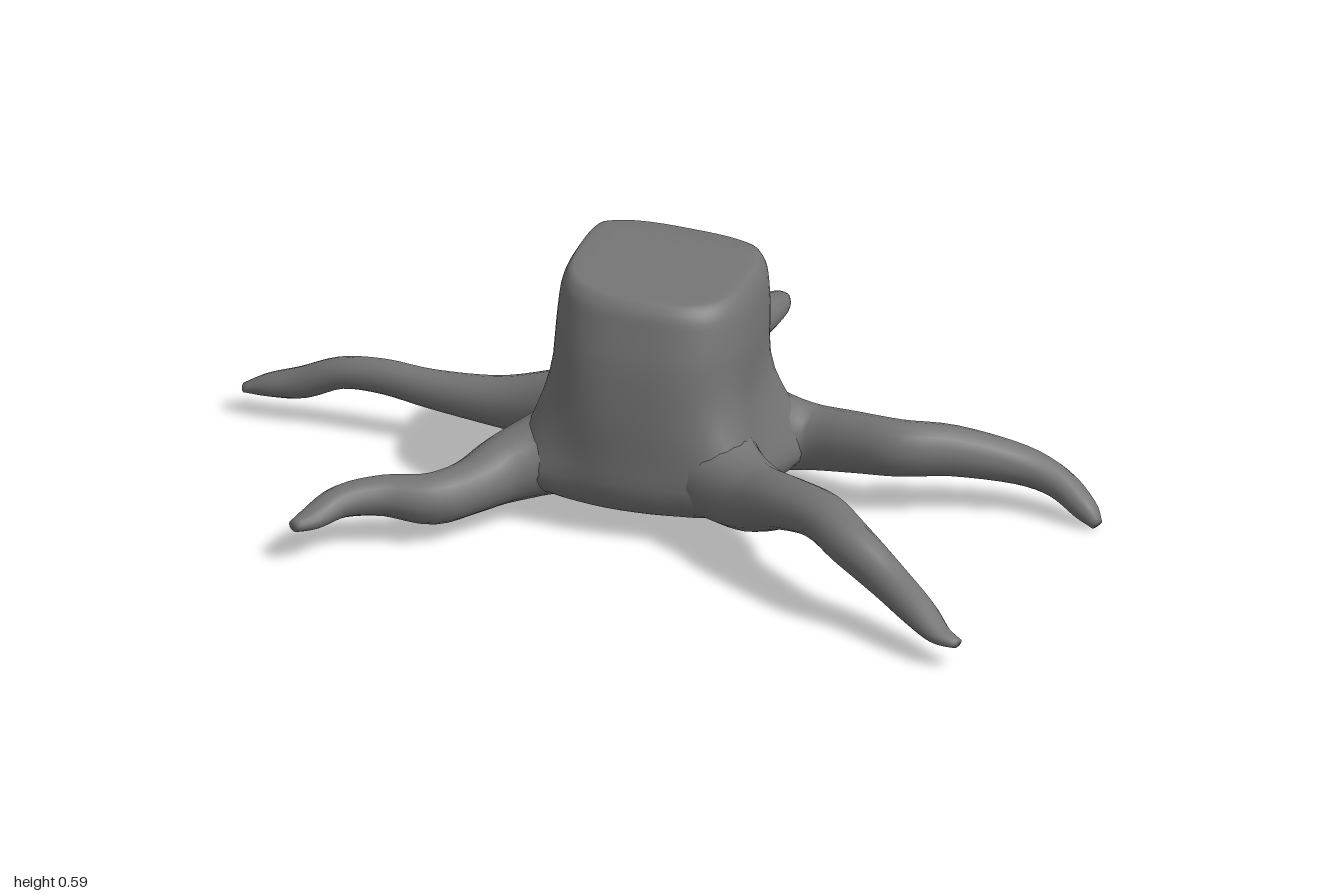
import * as THREE from 'three';

const material = new THREE.MeshStandardMaterial({ color: 0x747474 });
const CX = 0.025, CZ = 0.125;

// Each root: stations of [x, y, z, half width, half height], from inside the trunk to the tip
const ROOTS = {
  backRoot: [
    [0.02, 0.21, 0.04, 0.14, 0.15], [0.035, 0.16, -0.1, 0.105, 0.108], [0.05, 0.125, -0.24, 0.078, 0.078],
    [0.02, 0.12, -0.36, 0.07, 0.065], [0.01, 0.13, -0.47, 0.062, 0.05], [0.005, 0.122, -0.56, 0.05, 0.043],
    [0.01, 0.112, -0.66, 0.046, 0.04], [0.01, 0.1, -0.74, 0.04, 0.026], [0.01, 0.097, -0.787, 0.024, 0.013]],
  leftRoot: [
    [0.08, 0.21, 0.07, 0.13, 0.15], [0.22, 0.155, 0.005, 0.1, 0.1], [0.32, 0.135, -0.025, 0.066, 0.077],
    [0.44, 0.15, 0.005, 0.058, 0.07], [0.55, 0.16, 0.025, 0.055, 0.065], [0.66, 0.15, -0.018, 0.05, 0.058],
    [0.8, 0.115, -0.065, 0.043, 0.045], [0.89, 0.085, -0.06, 0.036, 0.036], [0.96, 0.045, -0.03, 0.028, 0.028],
    [0.992, 0.018, -0.015, 0.014, 0.013]],
  rightRoot: [
    [-0.03, 0.21, 0.07, 0.15, 0.15], [-0.18, 0.155, 0.015, 0.105, 0.1], [-0.28, 0.135, -0.005, 0.073, 0.078],
    [-0.4, 0.125, -0.013, 0.05, 0.058], [-0.55, 0.132, -0.015, 0.038, 0.045], [-0.66, 0.144, -0.02, 0.036, 0.04],
    [-0.76, 0.138, -0.024, 0.035, 0.036], [-0.85, 0.1, -0.03, 0.035, 0.036], [-0.93, 0.08, -0.036, 0.034, 0.026],
    [-0.99, 0.065, -0.035, 0.016, 0.01]],
  frontLeftRoot: [
    [0.1, 0.2, 0.19, 0.14, 0.15], [0.22, 0.155, 0.28, 0.105, 0.1], [0.32, 0.158, 0.365, 0.085, 0.078],
    [0.42, 0.198, 0.455, 0.068, 0.06], [0.53, 0.216, 0.535, 0.06, 0.053], [0.62, 0.192, 0.605, 0.053, 0.054],
    [0.72, 0.138, 0.65, 0.044, 0.046], [0.81, 0.1, 0.71, 0.04, 0.036], [0.87, 0.075, 0.755, 0.03, 0.022],
    [0.92, 0.065, 0.773, 0.016, 0.01]],
  frontRightRoot: [
    [-0.04, 0.2, 0.18, 0.13, 0.15], [-0.18, 0.15, 0.24, 0.1, 0.1], [-0.27, 0.125, 0.315, 0.074, 0.08],
    [-0.325, 0.11, 0.4, 0.062, 0.062], [-0.39, 0.105, 0.48, 0.056, 0.058], [-0.49, 0.115, 0.517, 0.046, 0.046],
    [-0.57, 0.115, 0.575, 0.04, 0.036], [-0.615, 0.1, 0.65, 0.032, 0.024], [-0.643, 0.095, 0.692, 0.016, 0.013]],
};

// Skin a stack of equal rings and close both ends with a fan
function loft(rings, name) {
  const n = rings[0].length, points = rings.flat(), index = [];
  for (let j = 0; j < rings.length - 1; j++) {
    for (let i = 0; i < n; i++) {
      const a = j * n + i, b = j * n + (i + 1) % n;
      index.push(a, b, a + n, b, b + n, a + n);
    }
  }
  [rings[0], rings[rings.length - 1]].forEach((ring, end) => {
    const start = end * (rings.length - 1) * n, c = points.length;
    points.push(ring.reduce((s, p) => s.add(p), new THREE.Vector3()).divideScalar(n));
    for (let i = 0; i < n; i++) {
      const a = start + i, b = start + (i + 1) % n;
      if (end) index.push(a, b, c); else index.push(b, a, c);
    }
  });
  const geometry = new THREE.BufferGeometry().setFromPoints(points);
  geometry.setIndex(index);
  geometry.computeVertexNormals();
  const mesh = new THREE.Mesh(geometry, material);
  mesh.name = name;
  return mesh;
}

// Smooth curve through three numbers per station
const curve = (stations, i, j, k) => new THREE.CatmullRomCurve3(
  stations.map(s => new THREE.Vector3(s[i], s[j], s[k])), false, 'catmullrom');

// Wavy tapering root with oval cross-sections
function makeRoot(name, stations) {
  const path = curve(stations, 0, 1, 2), size = curve(stations, 3, 4, 4);
  const rings = [], steps = (stations.length - 1) * 4, sides = 16;
  for (let j = 0; j <= steps; j++) {
    const t = j / steps, p = path.getPoint(t), d = path.getTangent(t), s = size.getPoint(t);
    const side = new THREE.Vector3(0, 1, 0).cross(d).normalize();
    const up = d.clone().cross(side);
    rings.push(Array.from({ length: sides }, (_, i) => {
      const a = i / sides * Math.PI * 2;
      return p.clone().addScaledVector(side, Math.cos(a) * s.x).addScaledVector(up, Math.sin(a) * s.y);
    }));
  }
  return loft(rings, name);
}

// Trunk levels: [y, x min, x max, z min, z max]
const LEVELS = [
  [0.05, -0.15, 0.21, -0.08, 0.28], [0.07, -0.21, 0.265, -0.11, 0.34], [0.12, -0.23, 0.28, -0.12, 0.368],
  [0.2, -0.212, 0.262, -0.12, 0.368], [0.3, -0.2, 0.245, -0.115, 0.365], [0.42, -0.195, 0.25, -0.12, 0.352],
  [0.51, -0.19, 0.245, -0.12, 0.33], [0.55, -0.182, 0.236, -0.118, 0.318], [0.572, -0.17, 0.222, -0.108, 0.3]];

// Rounded-square trunk ring, rounder and swelling towards each root near the ground
function trunkRing([y, x0, x1, z0, z1], inset = 1) {
  const sides = 64;
  const low = 1 - THREE.MathUtils.smoothstep(y, 0.1, 0.4);
  const e = 0.68 + 0.14 * low;
  const flare = 0.075 * low * THREE.MathUtils.smoothstep(y, 0.03, 0.12);
  const slant = THREE.MathUtils.smoothstep(y, 0.35, 0.57);
  return Array.from({ length: sides }, (_, i) => {
    const a = i / sides * Math.PI * 2, s = Math.sin(a), c = Math.cos(a);
    let x = (x0 + x1) / 2 + (x1 - x0) / 2 * inset * Math.sign(s) * Math.abs(s) ** e;
    let z = (z0 + z1) / 2 + (z1 - z0) / 2 * inset * Math.sign(c) * Math.abs(c) ** e;
    const angle = Math.atan2(x - CX, z - CZ);
    let bump = 0;
    for (const r of Object.values(ROOTS)) {
      const delta = angle - Math.atan2(r[2][0] - CX, r[2][2] - CZ);
      bump += Math.exp(-((Math.atan2(Math.sin(delta), Math.cos(delta)) / 0.32) ** 2));
    }
    x += Math.sin(angle) * bump * flare;
    z += Math.cos(angle) * bump * flare;
    const tilt = -0.06 * (x - CX) - 0.06 * (z - CZ) - 0.3 * Math.max(0, -z - 0.02);
    return new THREE.Vector3(x, y + tilt * slant, z);
  });
}

function makeTrunk() {
  // Smooth the levels into closely spaced rings
  const lo = curve(LEVELS, 0, 1, 2), hi = curve(LEVELS, 0, 3, 4);
  const rings = [], steps = (LEVELS.length - 1) * 3;
  for (let j = 0; j <= steps; j++) {
    const p = lo.getPoint(j / steps), q = hi.getPoint(j / steps);
    rings.push(trunkRing([p.x, p.y, p.z, q.y, q.z]));
  }
  // Softly rimmed, slanted cut face
  const [y, ...sides] = LEVELS[LEVELS.length - 1];
  [0.96, 0.88, 0.6, 0.3].forEach((inset, i) => rings.push(trunkRing([y + 0.003 + i * 0.001, ...sides], inset)));
  return loft(rings, 'trunk');
}

export function createModel() {
  const model = new THREE.Group();
  model.name = 'treeStump';
  model.add(makeTrunk());
  for (const [name, stations] of Object.entries(ROOTS)) model.add(makeRoot(name, stations));
  return model;
}
